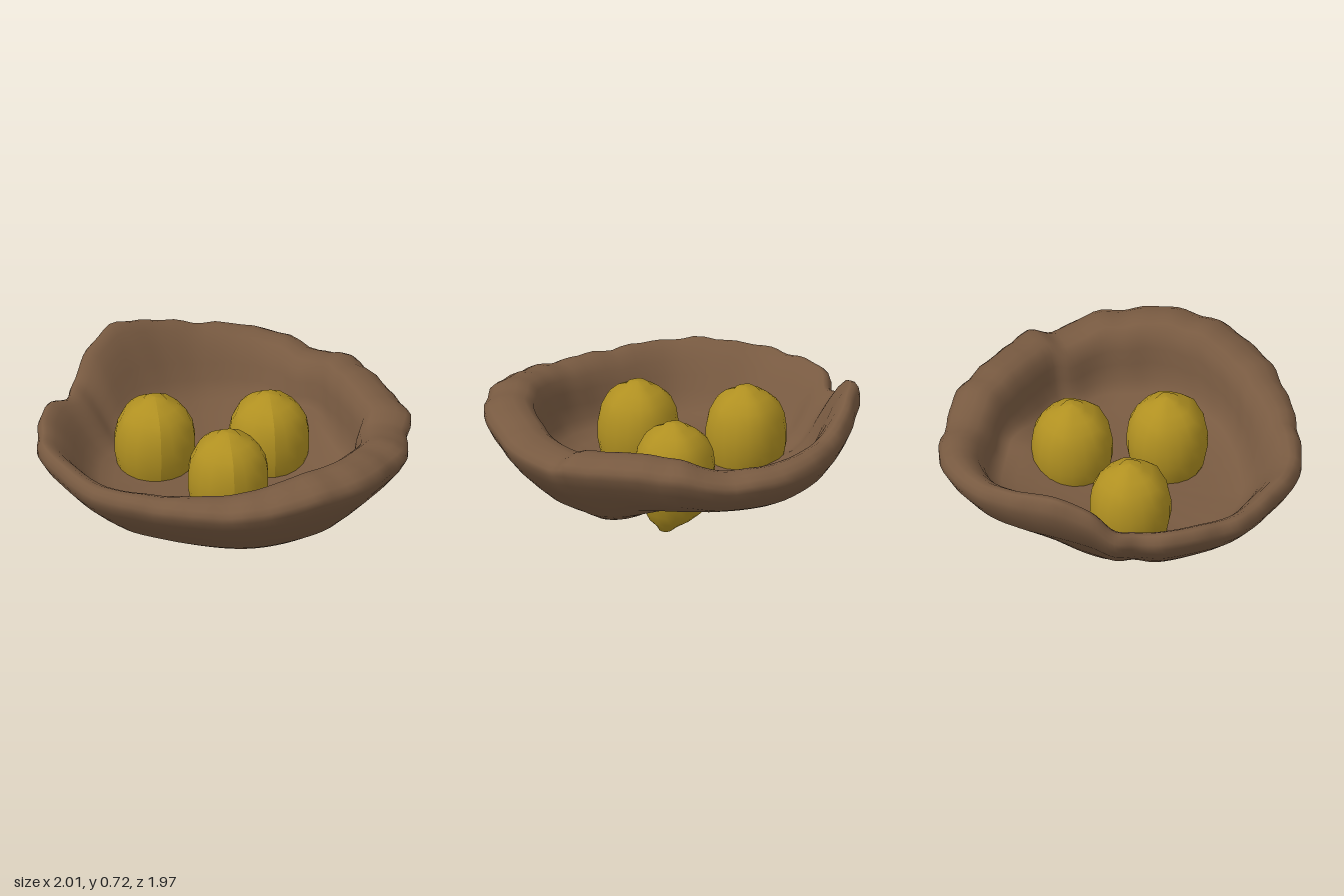
import * as THREE from 'three';

const clay = new THREE.MeshStandardMaterial({ color: 0x785a41 });
clay.name = 'brown clay';
const gold = new THREE.MeshStandardMaterial({ color: 0xb09021 });
gold.name = 'golden yellow';

// Uneven rim of the bowl, going round from the +x side towards +z:
// outline in x and z, height of the crest in y
const RIM = [
  [1.0, 0.6, 0.09], [0.965, 0.565, 0.22], [0.925, 0.6, 0.47], [0.8, 0.63, 0.66], [0.64, 0.65, 0.83],
  [0.4, 0.65, 0.94], [0.15, 0.615, 0.985], [-0.05, 0.58, 0.965], [-0.3, 0.56, 0.88], [-0.55, 0.545, 0.75],
  [-0.8, 0.54, 0.57], [-0.94, 0.545, 0.3], [-1.0, 0.53, 0.05], [-0.975, 0.54, -0.15], [-0.89, 0.535, -0.38],
  [-0.76, 0.5, -0.49], [-0.715, 0.53, -0.6], [-0.63, 0.66, -0.71], [-0.45, 0.72, -0.85], [-0.22, 0.66, -0.94],
  [0.05, 0.6, -0.99], [0.4, 0.57, -0.935], [0.65, 0.55, -0.71], [0.8, 0.61, -0.52], [0.9, 0.62, -0.25],
];

// Wall sections: [fraction of rim radius, fraction of crest height]
const UNDERSIDE = [
  [0, 0], [0.2, 0], [0.4, 0], [0.55, 0], [0.65, 0.02], [0.73, 0.13], [0.81, 0.29], [0.9, 0.49],
  [0.965, 0.67], [0.997, 0.8], [0.997, 0.88],
];
// sloping inside of the thin back wall, and steep inside of the thick rolled lip
const THIN = [
  [0.987, 0.95], [0.97, 0.99], [0.945, 1], [0.9, 0.93], [0.85, 0.8], [0.8, 0.64], [0.755, 0.48], [0.71, 0.35],
  [0.66, 0.26],
];
const THICK = [
  [0.97, 0.93], [0.92, 0.985], [0.85, 1], [0.79, 0.98], [0.745, 0.9], [0.725, 0.75], [0.715, 0.58], [0.7, 0.4],
  [0.66, 0.28],
];
const FLOOR = [[0.58, 0.21], [0.45, 0.18], [0.25, 0.17], [0, 0.165]];
const BASE = 0.125;

// The lip is thickest at the front right and thins towards the back left
function sectionAt(angle) {
  const thick = THREE.MathUtils.smoothstep(Math.cos(angle - 0.44), -0.9, 0.8);
  const inside = THIN.map((p, i) => p.map((v, k) => THREE.MathUtils.lerp(v, THICK[i][k], thick)));
  return [...UNDERSIDE, ...inside, ...FLOOR];
}

function bowlPoint(rim, angle, [radial, rise]) {
  const wobble = radial * rise * 0.004 * (Math.sin(angle * 17) + Math.sin(angle * 29 + rise * 6));
  const x = rim.x * (radial + wobble);
  const z = rim.z * (radial + wobble);
  // the middle of the floor is level, whatever the rim does
  const crest = THREE.MathUtils.lerp(0.58, rim.y, THREE.MathUtils.smoothstep(radial, 0.2, 0.7));
  // raised back edge of the underside and a dent below one egg-shaped fruit
  const back = THREE.MathUtils.smoothstep(-z, 0.4, 0.75);
  const dent = Math.exp(-((x - 0.46) ** 2 + (z + 0.34) ** 2) / 0.055);
  const lift = 0.1 * back * Math.max(0, 1 - rise * 2.2) + 0.17 * dent * Math.max(0, 1 - rise * 2);
  return [x, BASE + (crest - BASE) * rise + wobble + lift, z];
}

function makeBowl() {
  const around = 125;
  const rows = UNDERSIDE.length + THIN.length + FLOOR.length;
  const curve = new THREE.CatmullRomCurve3(RIM.map((p) => new THREE.Vector3(...p)), true);
  const positions = [];
  const index = [];
  for (let i = 0; i < around; i++) {
    const rim = curve.getPoint(i / around);
    const angle = Math.atan2(rim.z, rim.x);
    for (const point of sectionAt(angle)) positions.push(...bowlPoint(rim, angle, point));
    for (let j = 0; j < rows - 1; j++) {
      const a = i * rows + j;
      const b = ((i + 1) % around) * rows + j;
      if (j < rows - 2) index.push(a, a + 1, b + 1);
      else index.push(a, a + 1, b);
      if (j > 0 && j < rows - 2) index.push(a, b + 1, b);
    }
  }
  const geometry = new THREE.BufferGeometry();
  geometry.setAttribute('position', new THREE.Float32BufferAttribute(positions, 3));
  geometry.setIndex(index);
  geometry.computeVertexNormals();
  const bowl = new THREE.Mesh(geometry, clay);
  bowl.name = 'bowl';
  return bowl;
}

// Egg-shaped fruit with a crooked tip below and a small cap on top
const FRUIT = [
  [0, 0], [0.035, 0.005], [0.06, 0.03], [0.115, 0.068], [0.165, 0.12], [0.2, 0.2], [0.217, 0.29],
  [0.217, 0.37], [0.203, 0.45], [0.17, 0.515], [0.12, 0.56], [0.07, 0.582], [0.055, 0.6], [0, 0.608],
].map((p) => new THREE.Vector2(...p));

function makeFruit([x, y, z], tipX, tipZ) {
  const geometry = new THREE.LatheGeometry(FRUIT, 20);
  const p = geometry.attributes.position;
  for (let i = 0; i < p.count; i++) {
    const low = Math.max(0, 1 - p.getY(i) / 0.13);
    // five faint ridges on the crown
    const crown = THREE.MathUtils.smoothstep(p.getY(i), 0.4, 0.55);
    const ridge = 1 + 0.05 * crown * Math.cos(5 * Math.atan2(p.getX(i), p.getZ(i)));
    p.setX(i, p.getX(i) * ridge + tipX * low);
    p.setZ(i, p.getZ(i) * ridge + tipZ * low);
  }
  geometry.computeVertexNormals();
  const fruit = new THREE.Mesh(geometry, gold);
  fruit.position.set(x, y, z);
  fruit.name = 'fruit';
  return fruit;
}

export function createModel() {
  const model = new THREE.Group();
  model.name = 'bowlOfFruit';
  model.add(
    makeBowl(),
    makeFruit([-0.33, 0, -0.208], 0.06, 0.06),
    makeFruit([0.275, 0, -0.145], 0.06, 0.02),
    makeFruit([-0.012, 0.035, 0.272], 0.06, 0.05),
  );
  return model;
}
